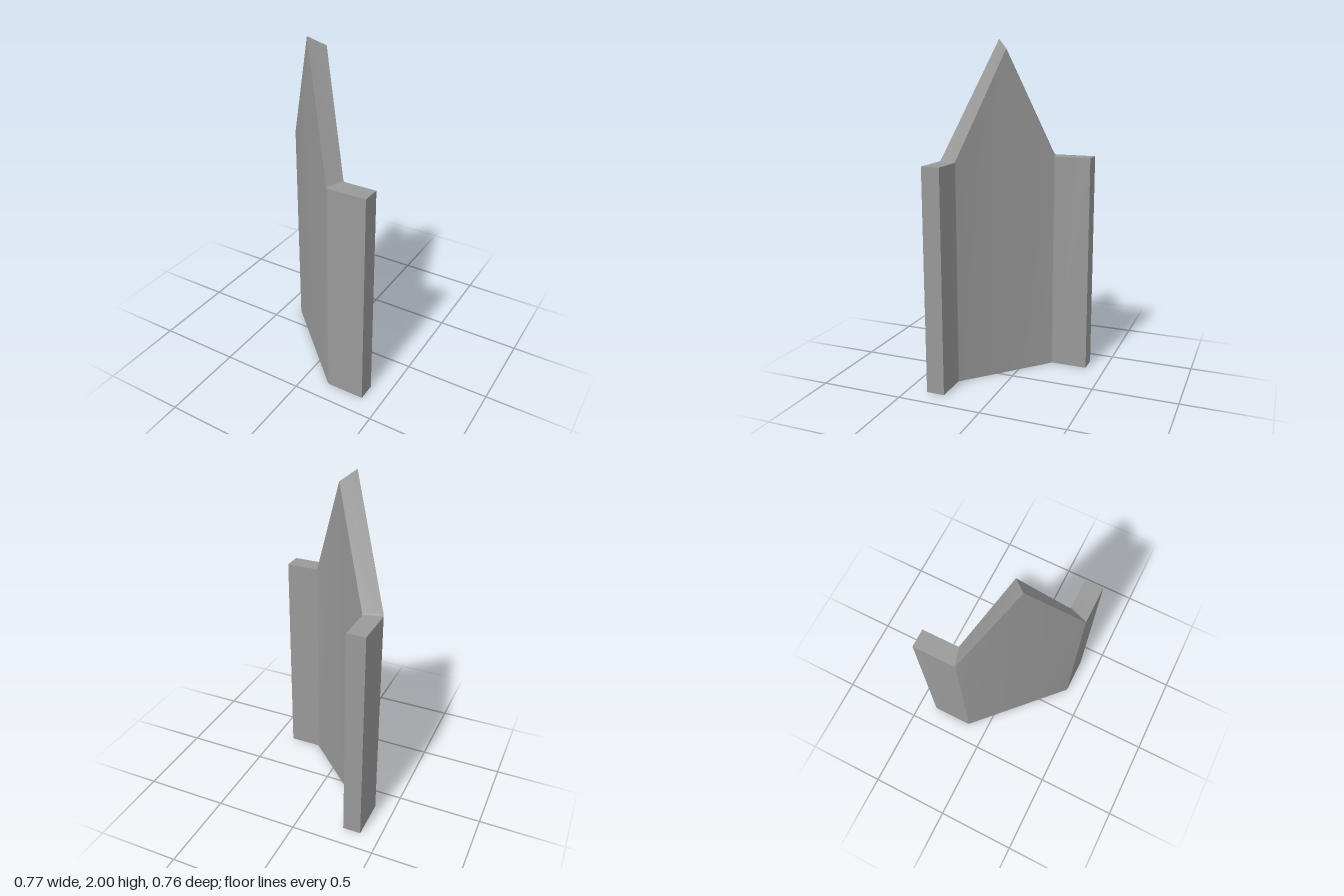
import * as THREE from 'three';
import { toCreasedNormals } from 'three/addons/utils/BufferGeometryUtils.js';

const SOFTENING = 0.012; // reach of the rounding on each side of a fold
const STEPS = 4;

// Top edges along the folded plate, as [x, y, z]; both run from the back flange to the front flange
const OUTER_EDGE = [
  [-0.383, 1.318, -0.383], [-0.383, 1.318, -0.128], [-0.115, 2.0, 0.127],
  [0.153, 1.318, 0.382], [0.383, 1.318, 0.382],
];
const INNER_EDGE = [
  [-0.275, 1.318, -0.383], [-0.275, 1.318, -0.163], [-0.043, 1.945, 0.054],
  [0.19, 1.318, 0.273], [0.383, 1.318, 0.273],
];

// Rounds the two flange folds and keeps the peak and the ends sharp
function softenFolds(edge) {
  const points = edge.map((p) => new THREE.Vector3(...p));
  const toward = (from, to) => from.clone().add(to.clone().sub(from).setLength(SOFTENING));
  return points.flatMap((p, i) => {
    if (i !== 1 && i !== 3) return [p];
    const start = toward(p, points[i - 1]);
    const end = toward(p, points[i + 1]);
    return new THREE.QuadraticBezierCurve3(start, p, end).getPoints(STEPS);
  });
}

function foldedPlate() {
  const outer = softenFolds(OUTER_EDGE);
  const inner = softenFolds(INNER_EDGE);

  // Four corners of each section: outer bottom, outer top, inner top, inner bottom
  const rings = outer.map((o, i) => {
    const n = inner[i];
    return [[o.x, 0, o.z], [o.x, o.y, o.z], [n.x, n.y, n.z], [n.x, 0, n.z]];
  });

  const positions = [];
  const quad = (a, b, c, d) => positions.push(...a, ...b, ...c, ...a, ...c, ...d);

  // Walls, sloped top and underside between neighbouring sections
  for (let i = 0; i < rings.length - 1; i++) {
    for (let k = 0; k < 4; k++) {
      const n = (k + 1) % 4;
      quad(rings[i][k], rings[i + 1][k], rings[i + 1][n], rings[i][n]);
    }
  }

  // End caps
  quad(...rings[0]);
  quad(...rings[rings.length - 1].reverse());

  const geometry = new THREE.BufferGeometry();
  geometry.setAttribute('position', new THREE.Float32BufferAttribute(positions, 3));
  return toCreasedNormals(geometry, THREE.MathUtils.degToRad(35));
}

export function createModel() {
  const group = new THREE.Group();
  group.name = 'pointedCornerPanel';

  // Pointed diagonal panel with a short flange at each end
  const panel = new THREE.Mesh(foldedPlate(), new THREE.MeshStandardMaterial({ color: 0x999999 }));
  panel.name = 'foldedPanel';
  group.add(panel);

  return group;
}
